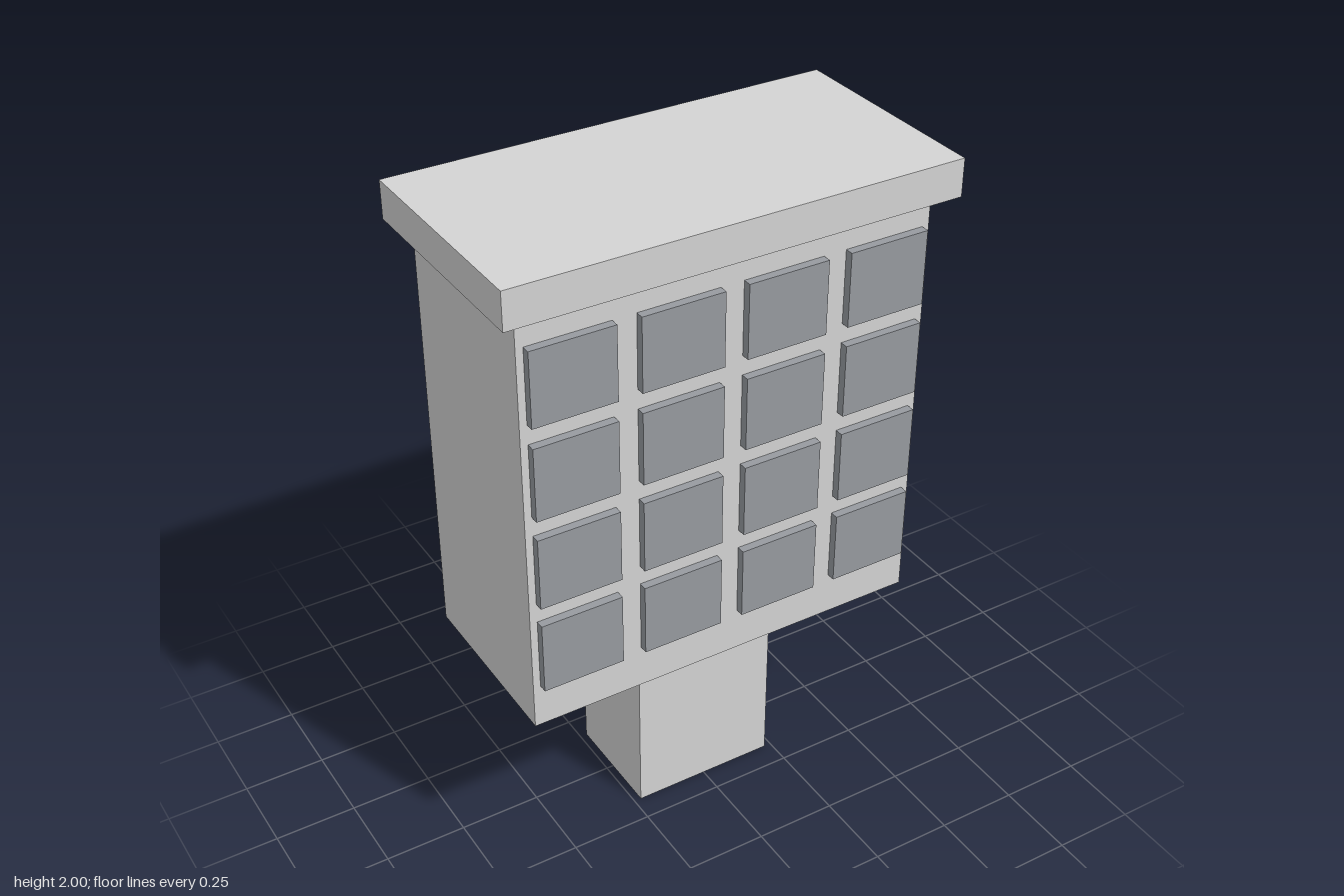
import * as THREE from 'three';

export function createModel() {
  const model = new THREE.Group();
  model.name = 'mailboxCluster';

  const casing = new THREE.MeshStandardMaterial({ color: 0xd4d4d4 });
  casing.name = 'casing light grey';
  const doorGrey = new THREE.MeshStandardMaterial({ color: 0x979ba0 });
  doorGrey.name = 'door slate grey';

  // Box given by its size and the height of its base
  function box(name, w, h, d, x, baseY, z, material, parent = model) {
    const mesh = new THREE.Mesh(new THREE.BoxGeometry(w, h, d), material);
    mesh.name = name;
    mesh.position.set(x, baseY + h / 2, z);
    parent.add(mesh);
  }

  // Pedestal, cabinet and overhanging lid
  box('pedestal', 0.456, 0.573, 0.344, 0, 0, 0, casing);
  box('cabinet', 1.257, 1.314, 0.57, 0, 0.573, 0, casing);
  box('lid', 1.371, 0.113, 0.685, 0, 1.887, 0, casing);

  // Four by four grid of raised doors on the front
  const doors = new THREE.Group();
  doors.name = 'doors';
  model.add(doors);
  for (let row = 0; row < 4; row++) {
    for (let col = 0; col < 4; col++) {
      const x = (col - 1.5) * 0.321;
      const y = 0.71 + row * 0.286;
      box('door', 0.25, 0.226, 0.026, x, y, 0.298, doorGrey, doors);
    }
  }

  return model;
}
